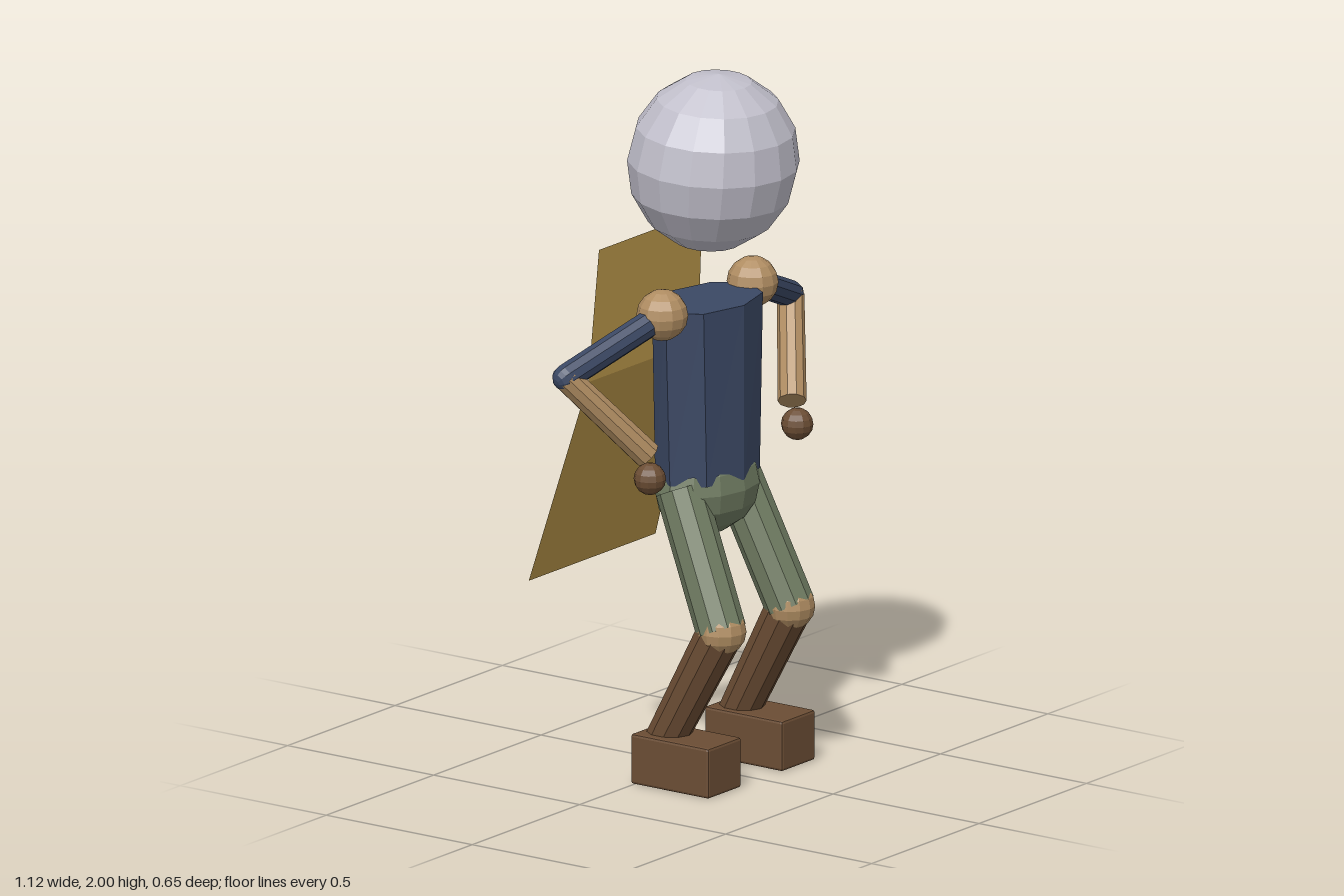
import * as THREE from 'three';
import { RoundedBoxGeometry } from 'three/addons/geometries/RoundedBoxGeometry.js';

const material = (name, color, side = THREE.FrontSide) =>
  new THREE.MeshStandardMaterial({ name, color, flatShading: true, side });

export function createModel() {
  const model = new THREE.Group();
  model.name = 'capedFigure';

  const silver = material('silver', 0xc2c0cc);
  const navy = material('navy', 0x3b4864);
  const tan = material('tan', 0xb08d62);
  const olive = material('olive', 0x707c62);
  const brown = material('brown', 0x6b4d34);
  const gold = material('gold', 0xbd994b, THREE.DoubleSide);

  const add = (name, geometry, mat, [x, y, z] = [0, 0, 0]) => {
    const mesh = new THREE.Mesh(geometry, mat);
    mesh.name = name;
    mesh.position.set(x, y, z);
    model.add(mesh);
    return mesh;
  };

  const ball = (name, mat, at, r, w = 12, h = 8) =>
    add(name, new THREE.SphereGeometry(r, w, h), mat, at);

  // Cylinder or capsule running between two joints
  const limb = (name, mat, from, to, rTop, rBottom, capsule = false) => {
    const a = new THREE.Vector3(...from);
    const b = new THREE.Vector3(...to);
    const length = a.distanceTo(b);
    const geometry = capsule
      ? new THREE.CapsuleGeometry(rTop, length, 4, 10)
      : new THREE.CylinderGeometry(rTop, rBottom, length, 10);
    const mesh = add(name, geometry, mat, a.clone().add(b).multiplyScalar(0.5).toArray());
    mesh.quaternion.setFromUnitVectors(new THREE.Vector3(0, 1, 0), a.sub(b).normalize());
  };

  // Head, tipped slightly forward
  const head = ball('head', silver, [0, 1.748, 0.09], 0.253, 16, 8);
  head.scale.z = 0.92;
  head.rotation.x = 0.08;

  // Eight-sided torso, narrowing in width toward the waist
  const torso = new THREE.CylinderGeometry(1, 1, 0.5, 8);
  const p = torso.attributes.position;
  for (let i = 0; i < p.count; i++) {
    p.setX(i, p.getX(i) * (p.getY(i) > 0 ? 0.195 : 0.175));
    p.setZ(i, p.getZ(i) * 0.125);
  }
  add('torso', torso, navy, [0, 1.1, 0.07]);

  // Hips showing below the torso and through its lower faces
  ball('hips', olive, [0, 0.82, 0.07], 1).scale.set(0.18, 0.14, 0.13);

  for (const [side, s] of [['left', 1], ['right', -1]]) {
    // Arms bent with hands toward the waist
    const shoulder = [s * 0.21, 1.35, 0.07];
    const elbow = [s * 0.523, 1.225, -0.03];
    ball(side + 'Shoulder', tan, shoulder, 0.072);
    limb(side + 'UpperArm', navy, shoulder, elbow, 0.038, 0.038, true);
    limb(side + 'Forearm', tan, elbow, [s * 0.337, 0.985, 0.112], 0.038, 0.04);
    ball(side + 'Hand', brown, [s * 0.343, 0.92, 0.125], 0.045);

    // Legs with bent knees
    const knee = [s * 0.16, 0.46, 0.235];
    limb(side + 'Thigh', olive, [s * 0.125, 0.83, 0.07], knee, 0.07, 0.07);
    ball(side + 'Knee', tan, knee, 0.07);
    limb(side + 'Shin', brown, knee, [s * 0.17, 0.1, 0.04], 0.066, 0.057);
    add(side + 'Boot', new RoundedBoxGeometry(0.155, 0.144, 0.268, 1, 0.008), brown,
      [s * 0.172, 0.072, 0.123]);
  }

  // Cape: three rows of [half width, y, z], folded at the middle row
  const rows = [[0.24, 1.51, -0.125], [0.256, 1.13, -0.15], [0.295, 0.54, -0.325]];
  const cape = new THREE.PlaneGeometry(1, 1, 1, 2);
  rows.forEach(([w, y, z], i) => {
    cape.attributes.position.setXYZ(i * 2, -w, y, z);
    cape.attributes.position.setXYZ(i * 2 + 1, w, y, z);
  });
  cape.computeVertexNormals();
  add('cape', cape, gold);

  return model;
}
